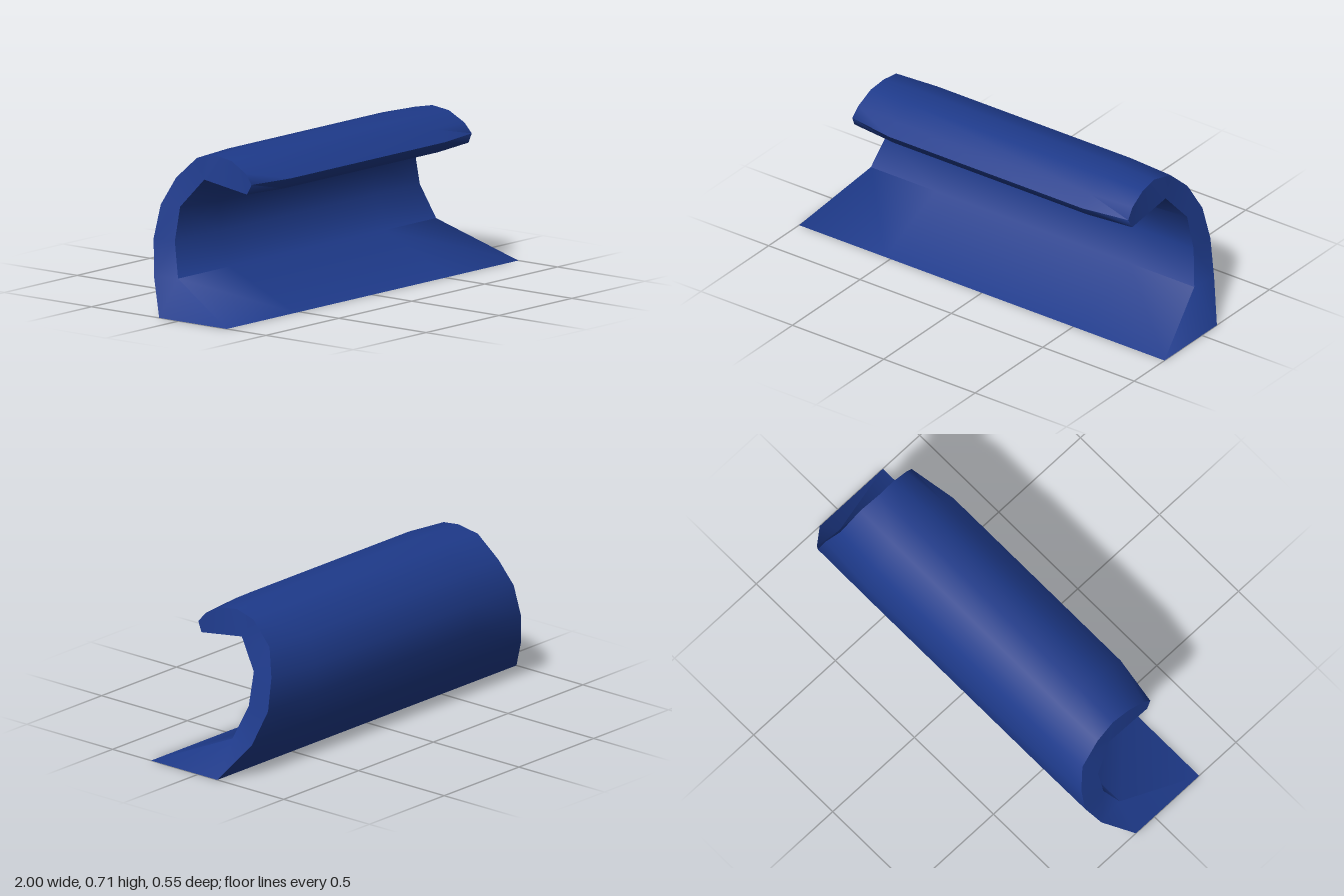
import * as THREE from 'three';
import { toCreasedNormals } from 'three/addons/utils/BufferGeometryUtils.js';

// Hooked profile from the front toe, under the base, up the back, over the lip and back inside.
// Each row: z, y of the middle section, then z, y and half width at the ends.
const profile = [
  [0.275, 0, 0.275, 0, 1],
  [-0.112, 0, -0.112, 0, 1],
  [-0.226, 0.16, -0.226, 0.16, 0.9],
  [-0.275, 0.315, -0.273, 0.315, 0.845],
  [-0.275, 0.45, -0.262, 0.46, 0.81],
  [-0.226, 0.58, -0.212, 0.58, 0.765],
  [-0.11, 0.688, -0.105, 0.68, 0.75],
  [0, 0.712, 0, 0.702, 0.74],
  [0.105, 0.7, 0.09, 0.69, 0.745],
  [0.195, 0.65, 0.175, 0.645, 0.75],
  [0.25, 0.6, 0.213, 0.6, 0.755],
  [0.21, 0.55, 0.19, 0.555, 0.76],
  [0.03, 0.57, -0.05, 0.592, 0.765],
  [-0.152, 0.448, -0.155, 0.463, 0.805],
  [-0.156, 0.313, -0.156, 0.313, 0.84],
  [-0.1, 0.16, -0.1, 0.16, 0.885],
];
const MIDDLE = 0.53; // half length of the constant section

// Outer and inner profile points that face each other across the end caps
const capPairs = [[1, 0], [2, 15], [3, 14], [4, 13], [5, 13], [6, 12], [7, 12], [8, 12], [9, 11], [10, 11]];

function createHookGeometry() {
  const end = (side) => profile.map(([, , z, y, w]) => [side * w, y, z]);
  const mid = (side) => profile.map(([z, y]) => [side * MIDDLE, y, z]);
  const rings = [end(-1), mid(-1), mid(1), end(1)];
  const n = profile.length;
  const index = [];

  // Skin between neighbouring sections, left open underneath
  for (let r = 0; r < rings.length - 1; r++) {
    for (let i = 1; i < n; i++) {
      const a = r * n + i, d = r * n + (i + 1) % n;
      const b = a + n, c = d + n;
      index.push(a, d, c, a, c, b);
    }
  }

  // Slanted end caps, mirrored
  const last = (rings.length - 1) * n;
  const addCap = (a, b, c) => index.push(last + a, last + b, last + c, a, c, b);
  for (let k = 0; k < capPairs.length - 1; k++) {
    const [o0, i0] = capPairs[k], [o1, i1] = capPairs[k + 1];
    addCap(o0, o1, i1);
    if (i0 !== i1) addCap(o0, i1, i0);
  }

  const geometry = new THREE.BufferGeometry();
  geometry.setAttribute('position', new THREE.Float32BufferAttribute(rings.flat(2), 3));
  geometry.setIndex(index);
  return toCreasedNormals(geometry, 1.25);
}

export function createModel() {
  const group = new THREE.Group();
  group.name = 'hookedRail';
  const blue = new THREE.MeshStandardMaterial({ color: 0x1e3a8a, side: THREE.DoubleSide });
  blue.name = 'royal blue';
  const hook = new THREE.Mesh(createHookGeometry(), blue);
  hook.name = 'curledBody';
  group.add(hook);
  return group;
}
